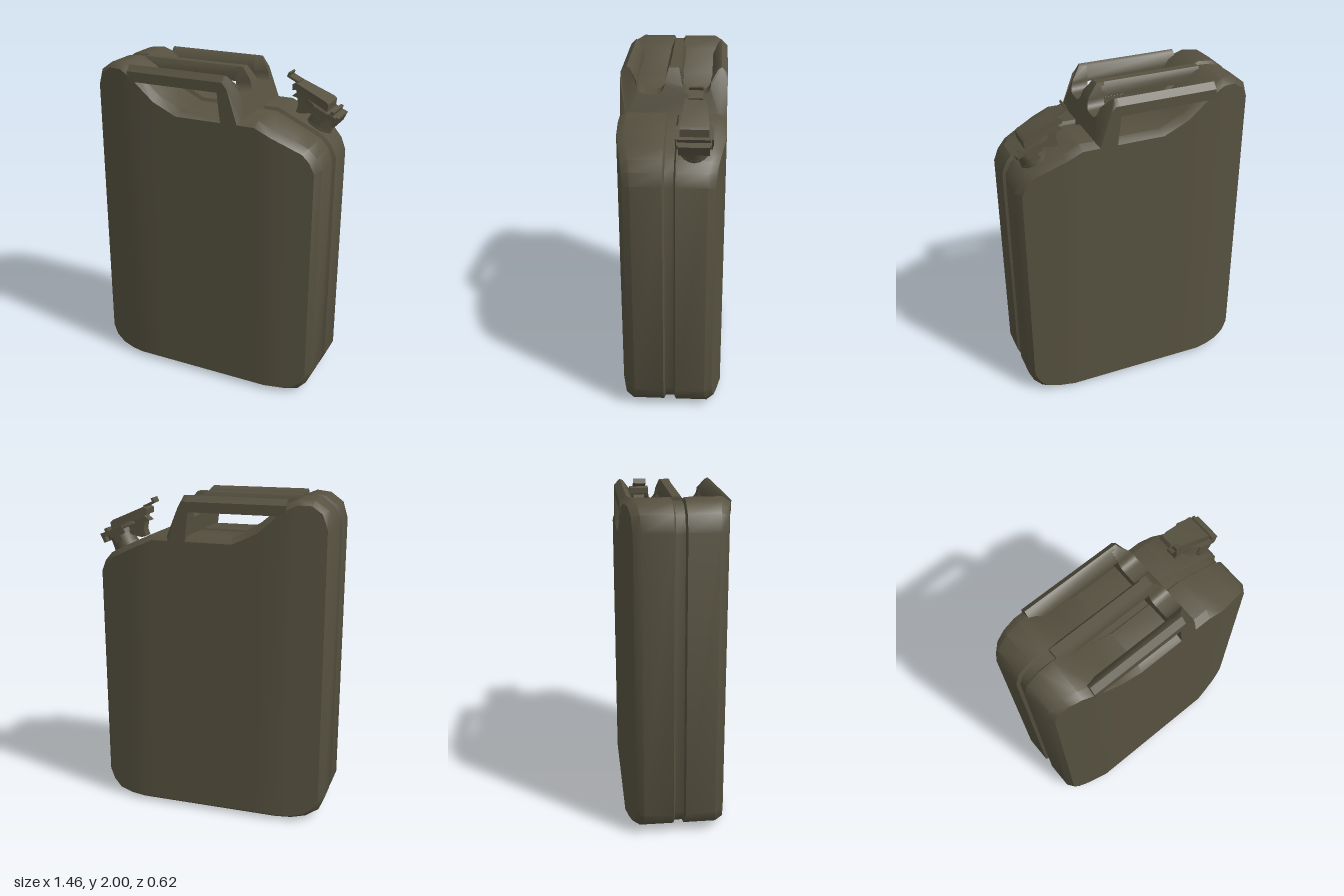
import * as THREE from 'three';
import { toCreasedNormals } from 'three/addons/utils/BufferGeometryUtils.js';

const olive = new THREE.MeshStandardMaterial({ color: 0x565140 });
olive.name = 'olive paint';

const { lerp, clamp } = THREE.MathUtils;

function part(name, geometry, crease = 0.7) {
  const mesh = new THREE.Mesh(toCreasedNormals(geometry, crease), olive);
  mesh.name = name;
  return mesh;
}

function polygon(points) {
  return new THREE.Shape(points.map(([x, y]) => new THREE.Vector2(x, y)));
}

function extrude(shape, depth) {
  return new THREE.ExtrudeGeometry(shape, { depth, bevelEnabled: false, curveSegments: 6 });
}

// Move every vertex of a geometry by a rule
function reshape(geometry, rule) {
  const p = geometry.attributes.position;
  const v = new THREE.Vector3();
  for (let i = 0; i < p.count; i++) {
    rule(v.fromBufferAttribute(p, i));
    p.setXYZ(i, v.x, v.y, v.z);
  }
  return geometry;
}

// Columns across the can: face x, top, bottom, then rim x, top, bottom
const COLUMNS = [
  [-0.70, 1.83, 0.15, -0.73, 1.84, 0.14],
  [-0.67, 1.92, 0.085, -0.70, 1.935, 0.07],
  [-0.61, 1.965, 0.045, -0.62, 1.99, 0.018],
  [-0.53, 1.968, 0.03, -0.53, 1.998, 0],
  [-0.45, 1.93, 0.03, -0.43, 1.955, 0],
  [-0.30, 1.80, 0.03, -0.28, 1.83, 0],
  [-0.15, 1.73, 0.03, -0.14, 1.76, 0],
  [0.35, 1.73, 0.03, 0.36, 1.76, 0],
  [0.45, 1.685, 0.03, 0.46, 1.715, 0],
  [0.55, 1.638, 0.03, 0.56, 1.67, 0],
  [0.63, 1.60, 0.045, 0.65, 1.625, 0.018],
  [0.67, 1.555, 0.085, 0.70, 1.57, 0.07],
  [0.70, 1.49, 0.15, 0.73, 1.50, 0.14],
];

// The broad faces taper towards both ends
const faceZ = (x) => lerp(0.31, 0.257, clamp((Math.abs(x) - 0.45) / 0.25, 0, 1));

function bodyGeometry() {
  // Each section: side, inset towards the face outline, depth rule
  const half = [[0.65, () => 0.026], [0, () => 0.036], [0, (x) => faceZ(x) - 0.045], [1, faceZ]];
  const sections = [
    ...half.slice().reverse().map(([t, z]) => [-1, t, z]),
    ...half.map(([t, z]) => [1, t, z]),
  ];
  const n = COLUMNS.length;
  const ringSize = 2 * n;
  const positions = [];
  const index = [];
  for (const [side, t, z] of sections) {
    const put = (c, k) => positions.push(lerp(c[3], c[0], t), lerp(c[3 + k], c[k], t), side * z(c[0]));
    for (let i = 0; i < n; i++) put(COLUMNS[i], 1);
    for (let i = n - 1; i >= 0; i--) put(COLUMNS[i], 2);
  }
  // Walls with the seam groove
  for (let j = 0; j < sections.length - 1; j++) {
    for (let k = 0; k < ringSize; k++) {
      const a = j * ringSize + k;
      const b = j * ringSize + (k + 1) % ringSize;
      index.push(a, a + ringSize, b + ringSize, a, b + ringSize, b);
    }
  }
  // Broad front and back faces
  const last = (sections.length - 1) * ringSize;
  for (let i = 0; i < n - 1; i++) {
    const [a, b, c, d] = [i, ringSize - 1 - i, ringSize - 2 - i, i + 1];
    index.push(last + a, last + b, last + c, last + a, last + c, last + d);
    index.push(a, c, b, a, d, c);
  }
  const geometry = new THREE.BufferGeometry();
  geometry.setAttribute('position', new THREE.Float32BufferAttribute(positions, 3));
  geometry.setIndex(index);
  return geometry;
}

// Handle bar running along x, from a (z, y) cross-section
function handleBar(name, section, x0, x1) {
  const g = extrude(polygon(section), x1 - x0);
  g.rotateY(Math.PI / 2).translate(x0, 0, 0);
  return part(name, g);
}

// Leaning end wall shared by the three bars, with a scoop between each pair
function handlePost() {
  const s = polygon([[-0.27, 1.73], [0.27, 1.73], [0.31, 1.73], [0.31, 1.93], [0.31, 1.965], [0.275, 2], [0.255, 1.99]]);
  const scoop = (from, to) => {
    s.lineTo(from, 1.93);
    s.quadraticCurveTo(from, 1.86, lerp(from, to, 0.35), 1.86);
    s.lineTo(lerp(from, to, 0.65), 1.86);
    s.quadraticCurveTo(to, 1.86, to, 1.93);
  };
  scoop(0.215, 0.05);
  s.lineTo(0.03, 1.995);
  s.lineTo(-0.03, 1.995);
  scoop(-0.05, -0.215);
  for (const [z, y] of [[-0.255, 1.99], [-0.275, 2], [-0.31, 1.965], [-0.31, 1.93], [-0.31, 1.73]]) s.lineTo(z, y);
  const g = extrude(s, 1).rotateY(Math.PI / 2);
  return part('handlePost', reshape(g, (v) => {
    const inner = 0.14 - (v.y - 1.73) * 0.12;
    let outer = v.y < 1.93 ? lerp(0.275, 0.21, (v.y - 1.73) / 0.2) : lerp(0.21, 0.15, (v.y - 1.93) / 0.07);
    if (Math.abs(v.z) > 0.3) outer -= 0.03;
    v.x = lerp(inner, outer, v.x);
  }));
}

function cylinder(name, rTop, rBottom, height, y, sides = 16) {
  return part(name, new THREE.CylinderGeometry(rTop, rBottom, height, sides).translate(0, y, 0));
}

function block(name, w, h, d, x, y, z) {
  return part(name, new THREE.BoxGeometry(w, h, d).translate(x, y, z));
}

// Filler neck with hinged cap and locking lever, square to the sloping shoulder
function spout() {
  const group = new THREE.Group();
  group.name = 'spout';
  group.add(
    cylinder('neckBase', 0.08, 0.088, 0.06, 0),
    cylinder('neck', 0.074, 0.08, 0.1, 0.06),
    cylinder('neckCollar', 0.088, 0.088, 0.025, 0.105),
  );

  // Cap plate with clipped corners
  const plate = extrude(polygon([
    [0.075, -0.095], [0.085, -0.08], [0.085, 0.08], [0.075, 0.095],
    [-0.07, 0.095], [-0.13, 0.07], [-0.13, -0.07], [-0.07, -0.095],
  ]), 0.025);
  group.add(part('capPlate', plate.rotateX(-Math.PI / 2).translate(0, 0.118, 0)));

  // Lever body narrows towards its tip
  const lever = extrude(polygon([
    [0.015, 0.14], [0.0, 0.185], [-0.02, 0.192], [-0.235, 0.185], [-0.25, 0.165],
    [-0.235, 0.135], [-0.215, 0.15], [-0.19, 0.125], [-0.15, 0.135],
  ]), 0.16).translate(0, 0, -0.08);
  group.add(part('lever', reshape(lever, (v) => {
    v.z *= lerp(1, 0.72, clamp((-v.x - 0.05) / 0.2, 0, 1));
  })));
  group.add(block('leverTip', 0.075, 0.012, 0.08, -0.265, 0.187, 0));
  group.add(block('leverLip', 0.012, 0.03, 0.08, -0.3, 0.197, 0));

  // Catch hanging below the lever
  const hook = extrude(polygon([
    [-0.13, 0.14], [-0.2, 0.14], [-0.225, 0.095], [-0.19, 0.1], [-0.165, 0.06],
    [-0.16, 0.02], [-0.13, 0.025], [-0.07, 0.07], [-0.07, 0.12],
  ]), 0.07).translate(0, 0, -0.035);
  group.add(part('catch', hook));

  // Hinge
  group.add(block('hinge', 0.02, 0.06, 0.17, 0.085, 0.118, 0));
  group.add(block('hingeRidge', 0.02, 0.03, 0.18, 0.045, 0.15, 0));
  for (const side of [-1, 1]) {
    group.add(block('lockingLug', 0.05, 0.035, 0.02, -0.01, 0.07, side * 0.09));
    group.add(block('capArm', 0.1, 0.05, 0.012, -0.02, 0.115, side * 0.098));
  }
  group.position.set(0.58, 1.64, -0.135);
  group.rotation.z = -0.445;
  return group;
}

export function createModel() {
  const model = new THREE.Group();
  model.name = 'fuelCan';
  model.add(part('body', bodyGeometry()));

  // Three carrying bars
  const outerBar = [[0.31, 1.905], [0.31, 1.965], [0.275, 2], [0.255, 1.99], [0.22, 1.93], [0.22, 1.905]];
  for (const side of [-1, 1]) {
    model.add(handleBar('outerHandleBar', outerBar.map(([z, y]) => [z * side, y]), -0.47, 0.13));
  }
  const centreBar = [[-0.045, 1.91], [-0.045, 1.96], [-0.025, 1.995], [0.025, 1.995], [0.045, 1.96], [0.045, 1.91]];
  model.add(handleBar('centreHandleBar', centreBar, -0.5, 0.13));

  model.add(handlePost(), spout());
  return model;
}
